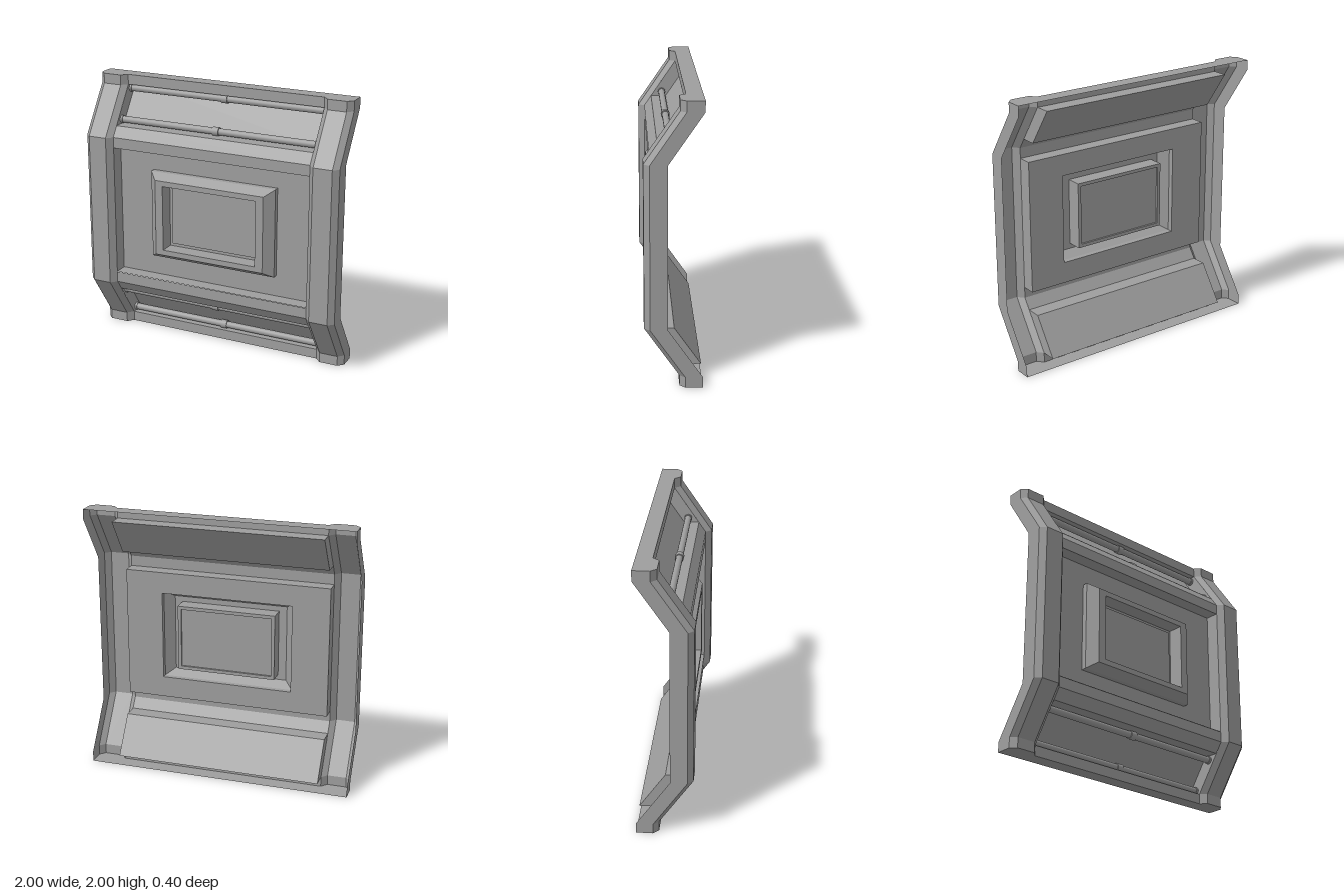
import * as THREE from 'three';

const grey = { color: 0x9e9e9e, side: THREE.DoubleSide };
const flatMaterial = new THREE.MeshStandardMaterial({ ...grey, flatShading: true });
const smoothMaterial = new THREE.MeshStandardMaterial(grey);

function addMesh(parent, name, geometry, material = flatMaterial) {
  const mesh = new THREE.Mesh(geometry, material);
  mesh.name = name;
  parent.add(mesh);
  return mesh;
}

// Skin a surface over rows of points, with sharp facets.
function skin(rows) {
  const v = [];
  for (let i = 0; i < rows.length - 1; i++) {
    for (let j = 0; j < rows[i].length - 1; j++) {
      const a = rows[i][j], b = rows[i][j + 1], c = rows[i + 1][j + 1], d = rows[i + 1][j];
      v.push(...a, ...b, ...c, ...a, ...c, ...d);
    }
  }
  const g = new THREE.BufferGeometry();
  g.setAttribute('position', new THREE.Float32BufferAttribute(v, 3));
  g.computeVertexNormals();
  return g;
}

const flat = (pts) => new THREE.ShapeGeometry(new THREE.Shape(pts.map(([a, b]) => new THREE.Vector2(a, b))));

const W = 0.78; // half width between the columns

// Back edge of the wall as [y, z], and the column section as [x, depth in front of it]
const path = [[0, -0.2], [0.075, -0.2], [0.425, 0.04], [1.575, 0.04], [1.925, -0.2], [2, -0.2]];
const section = [[1, 0], [1, 0.12], [0.96, 0.16], [0.82, 0.16], [W, 0.115]];

// Sloped recess between the columns as [y, z], from the top edge to the centre panel
const slope = [[2, -0.085], [1.925, -0.085], [1.925, -0.2], [1.652, -0.012], [1.652, 0.102], [1.575, 0.155], [1.495, 0.155]];

// Centre panel, raised frame and window as rectangular rings: [half width, half height, z]
const rings = [[W, 0.495, 0.155], [W, 0.495, 0.05], [0.5, 0.335, 0.05], [0.5, 0.335, 0.09], [0.435, 0.29, 0.157],
  [0.375, 0.25, 0.157], [0.375, 0.25, 0.04], [0.35, 0.225, 0.04], [0.35, 0.225, 0.055], [0, 0, 0.055]];

function makeRail(y, z) {
  const rail = new THREE.Group();
  rail.name = 'rail';
  const tube = (name, radius, length, x) => {
    const g = new THREE.CylinderGeometry(radius, radius, length, 16).rotateZ(Math.PI / 2);
    addMesh(rail, name, g, smoothMaterial).position.x = x;
  };
  tube('railBar', 0.025, 2 * W, 0);
  tube('railClamp', 0.032, 0.05, 0);
  for (const s of [-1, 1]) tube('railCollar', 0.03, 0.016, s * (W - 0.008));
  rail.position.set(0, y, z);
  return rail;
}

export function createModel() {
  const model = new THREE.Group();
  model.name = 'wallPanel';

  // Chamfered side columns, open at the back
  for (const [s, name] of [[1, 'leftColumn'], [-1, 'rightColumn']]) {
    addMesh(model, name, skin(path.map(([y, z]) => section.map(([x, d]) => [s * x, y, z + d]))));
  }

  // Top and bottom end plates
  const half = section.map(([x, d]) => [x, d - 0.2]);
  const outline = [...half, ...half.map(([x, z]) => [-x, z]).reverse()];
  for (const [y, name] of [[0, 'bottomPlate'], [2, 'topPlate']]) {
    addMesh(model, name, flat(outline).rotateX(Math.PI / 2)).position.y = y;
  }

  // Sloped recesses with two rails each, mirrored top to bottom
  for (const [name, flip] of [['upper', (y) => y], ['lower', (y) => 2 - y]]) {
    const bay = new THREE.Group();
    bay.name = name + 'Recess';
    addMesh(bay, 'recessSurface', skin(slope.map(([y, z]) => [[-W, flip(y), z], [W, flip(y), z]])));
    const cheek = slope.slice(1, 5).map(([y, z]) => [z, flip(y)]);
    for (const s of [-1, 1]) {
      addMesh(bay, 'recessEnd', flat(cheek).rotateY(-Math.PI / 2)).position.x = s * W;
    }
    bay.add(makeRail(flip(1.892), -0.125), makeRail(flip(1.685), 0.02));
    model.add(bay);
  }

  // Recessed centre panel with a raised bevelled frame and a sunken window
  const corners = [[-1, -1], [1, -1], [1, 1], [-1, 1], [-1, -1]];
  const ringRows = rings.map(([w, h, z]) => corners.map(([a, b]) => [a * w, 1.003 + b * h, z]));
  addMesh(model, 'centrePanel', skin(ringRows.slice(0, 3)));
  addMesh(model, 'raisedFrame', skin(ringRows.slice(2, 6)));
  addMesh(model, 'sunkenWindow', skin(ringRows.slice(5)));

  return model;
}
